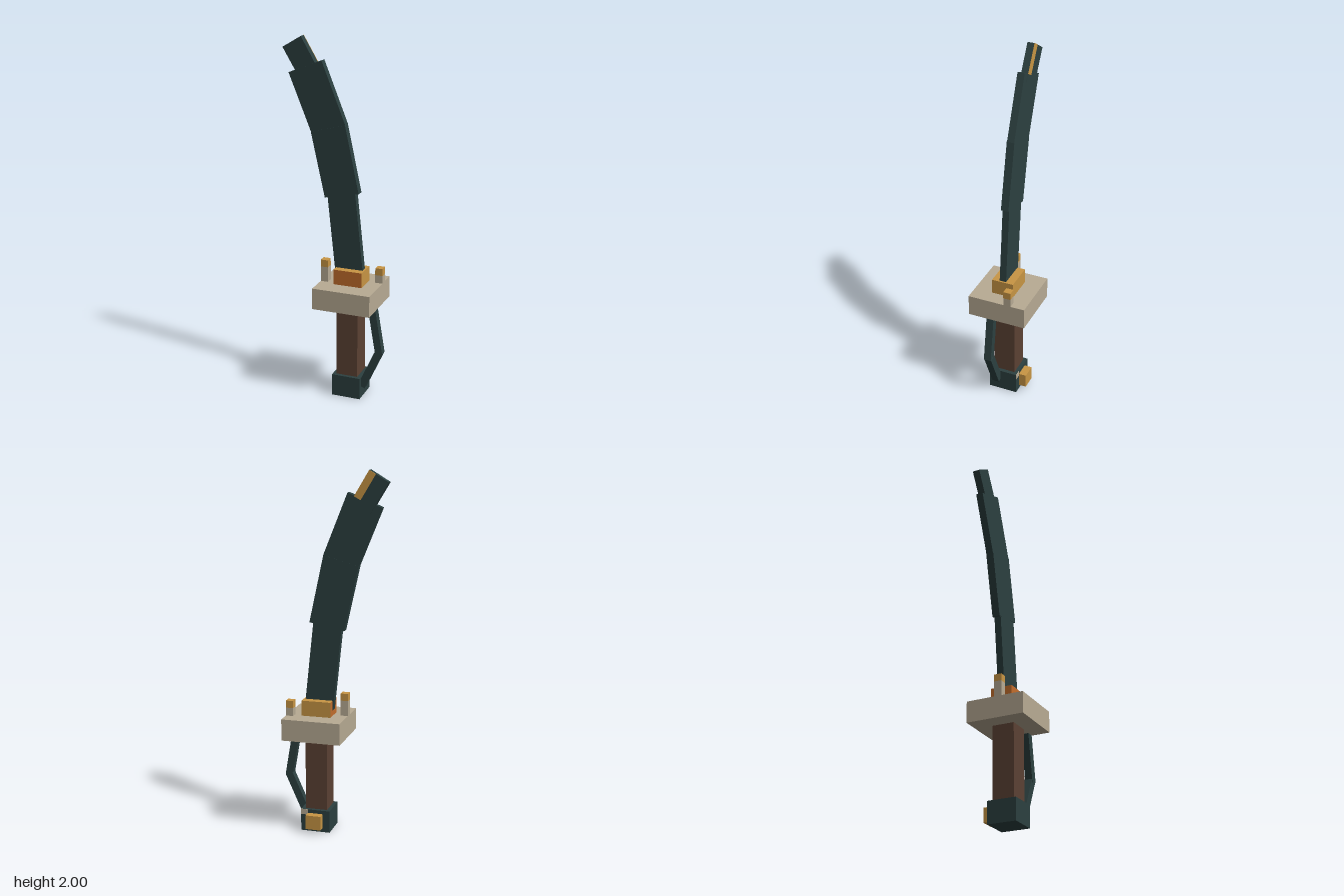
import * as THREE from 'three';

const material = (name, color) => {
  const m = new THREE.MeshStandardMaterial({ color });
  m.name = name;
  return m;
};

export function createModel() {
  const model = new THREE.Group();
  model.name = 'sabre';

  const steel = material('dark steel', 0x2c4040);
  const bone = material('bone', 0xb8ab94);
  const gold = material('gold', 0xc99644);
  const copper = material('copper', 0xc46e2c);
  const leather = material('brown leather', 0x5c4234);

  const add = (name, geometry, mat, parent = model) => {
    const mesh = new THREE.Mesh(geometry, mat);
    mesh.name = name;
    parent.add(mesh);
    return mesh;
  };

  // Box from its minimum and maximum corners
  const box = (name, [x0, y0, z0], [x1, y1, z1], mat, parent) => {
    const g = new THREE.BoxGeometry(x1 - x0, y1 - y0, z1 - z0);
    g.translate((x0 + x1) / 2, (y0 + y1) / 2, (z0 + z1) / 2);
    return add(name, g, mat, parent);
  };

  // Flat slab: an outline in x and y, running from z0 to z1
  const slab = (name, outline, z0, z1, mat, parent) => {
    const shape = new THREE.Shape(outline.map(([x, y]) => new THREE.Vector2(x, y)));
    const g = new THREE.ExtrudeGeometry(shape, { depth: z1 - z0, bevelEnabled: false });
    g.translate(0, 0, z0);
    return add(name, g, mat, parent);
  };

  // Pommel with a gold stud and a small bone inlay on the back
  box('pommel', [0.005, 0, -0.082], [0.17, 0.125, 0.082], steel);
  box('pommelStud', [0.045, 0.025, -0.125], [0.13, 0.105, -0.082], gold);
  box('pommelInlay', [0.13, 0.095, -0.084], [0.17, 0.125, -0.081], bone);

  // Grip, guard and collar
  box('grip', [0.025, 0.125, -0.062], [0.148, 0.54, 0.062], leather);
  box('guard', [-0.077, 0.54, -0.165], [0.253, 0.66, 0.165], bone);
  box('collar', [0.005, 0.66, -0.063], [0.17, 0.745, 0.061],
    [gold, copper, gold, gold, copper, gold]);

  // Gold-capped posts on the guard: x, z and top height
  [[-0.077, -0.002, 0.785], [0.211, -0.085, 0.745]].forEach(([x, z, top], i) => {
    const post = new THREE.Group();
    post.name = i ? 'leftPost' : 'rightPost';
    model.add(post);
    box('postStem', [x, 0.66, z], [x + 0.042, top - 0.04, z + 0.042], bone, post);
    box('postCap', [x, top - 0.04, z], [x + 0.042, top, z + 0.042], gold, post);
  });

  // Bent knuckle bow from guard to pommel
  const bow = new THREE.Group();
  bow.name = 'knuckleBow';
  model.add(bow);
  slab('upperBow', [[0.253, 0.275], [0.293, 0.285], [0.247, 0.56], [0.206, 0.555]], 0.018, 0.06, steel, bow);
  slab('lowerBow', [[0.19, 0.06], [0.291, 0.283], [0.252, 0.3], [0.152, 0.078]], 0.016, 0.058, steel, bow);

  // Curved blade in four stepped sections
  const blade = new THREE.Group();
  blade.name = 'blade';
  model.add(blade);
  const sections = [
    ['lowerBlade', [[0.004, 0.69], [0.164, 0.707], [0.112, 1.2], [-0.048, 1.183]], -0.018, 0.02],
    ['middleBlade', [[-0.06, 1.138], [0.135, 1.177], [0.056, 1.545], [-0.139, 1.495]], -0.022, 0.021],
    ['upperBlade', [[-0.139, 1.495], [0.057, 1.545], [-0.077, 1.88], [-0.265, 1.805]], -0.021, 0.019],
    ['bladeTip', [[-0.2, 1.77], [-0.092, 1.823], [-0.195, 2], [-0.3, 1.937]], -0.025, 0.015],
  ];
  for (const [name, outline, z0, z1] of sections) slab(name, outline, z0, z1, steel, blade);

  // Gold strip on the back of the tip
  slab('tipStrip', [[-0.149, 1.842], [-0.113, 1.862], [-0.195, 2], [-0.231, 1.979]],
    -0.027, -0.024, gold, blade);

  return model;
}
